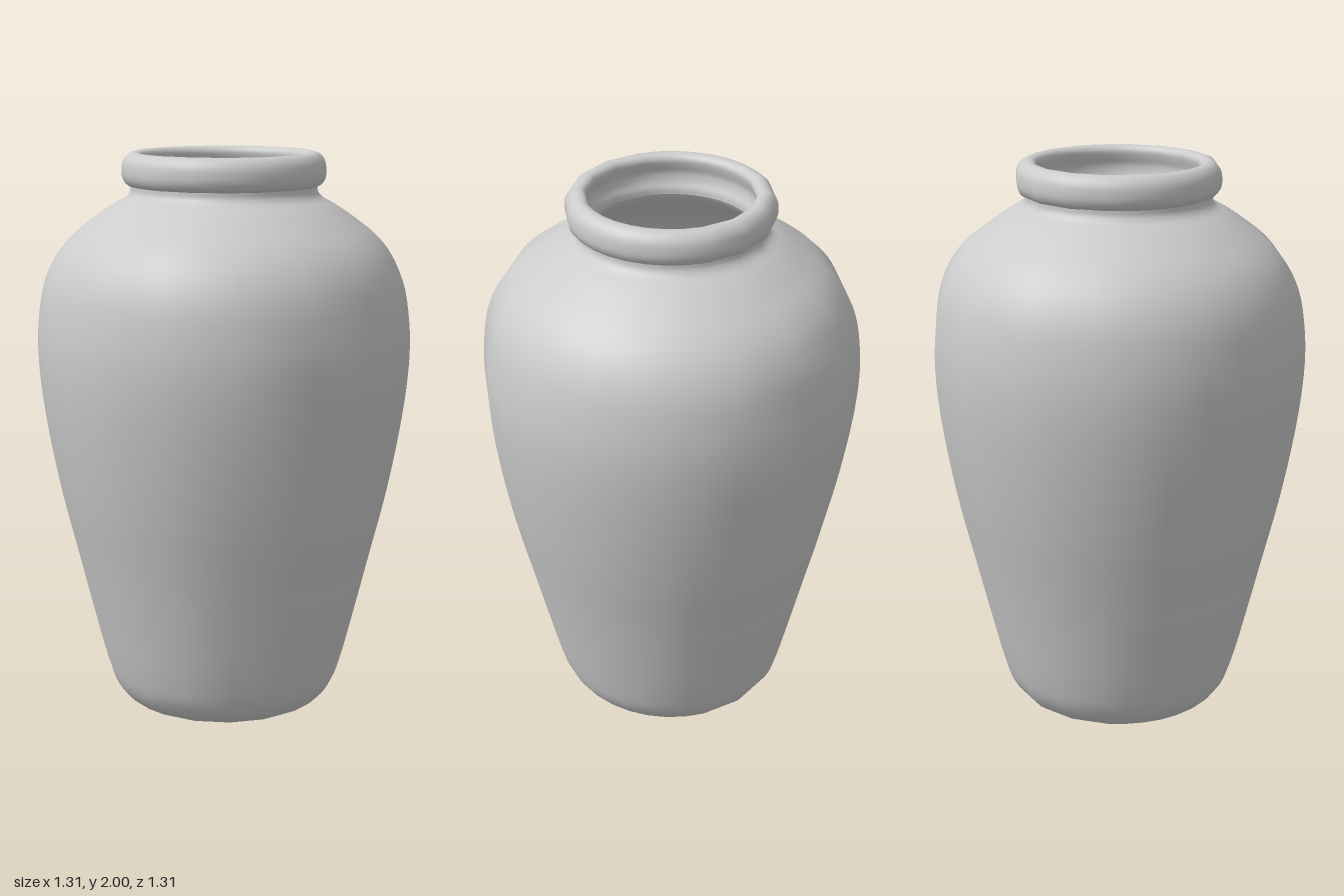
import * as THREE from 'three';

// Smooth profile through [radius, height] points
function smoothProfile(points, divisions) {
  const curve = new THREE.CatmullRomCurve3(
    points.map(([r, y]) => new THREE.Vector3(r, y, 0)), false, 'centripetal');
  return curve.getPoints(divisions).map(p => new THREE.Vector2(Math.max(p.x, 0), p.y));
}

// Widths of the facets over a quarter turn, in degrees: wide near the z axis, narrow near the x axis
const QUARTER = [22.5, 22.5, 11.25, 11.25, 11.25, 11.25];

function facetAngles() {
  const back = [...QUARTER].reverse();
  const angles = [0];
  for (const step of [...QUARTER, ...back, ...QUARTER, ...back]) {
    angles.push(angles[angles.length - 1] + THREE.MathUtils.degToRad(step));
  }
  return angles;
}

// Lathe whose facets are turned to the uneven angles, normals included
function facetedLathe(profile) {
  const angles = facetAngles();
  const segments = angles.length - 1;
  const geometry = new THREE.LatheGeometry(profile, segments);
  const axis = new THREE.Vector3(0, 1, 0);
  const v = new THREE.Vector3();
  for (const name of ['position', 'normal']) {
    const attribute = geometry.getAttribute(name);
    for (let k = 0; k < attribute.count; k++) {
      const i = Math.floor(k / profile.length);
      v.fromBufferAttribute(attribute, k);
      v.applyAxisAngle(axis, angles[i] - (i / segments) * Math.PI * 2);
      attribute.setXYZ(k, v.x, v.y, v.z);
    }
  }
  return geometry;
}

export function createModel() {
  const group = new THREE.Group();
  group.name = 'jar';
  const material = new THREE.MeshStandardMaterial({ color: 0xcccccc, side: THREE.DoubleSide });

  const addPart = (name, points, divisions) => {
    const mesh = new THREE.Mesh(facetedLathe(smoothProfile(points, divisions)), material);
    mesh.name = name;
    group.add(mesh);
  };

  // Outer wall, from the middle of the base up to the neck
  addPart('body', [
    [0, 0], [0.15, 0.004], [0.265, 0.015], [0.345, 0.047], [0.393, 0.105], [0.424, 0.19],
    [0.47, 0.365], [0.523, 0.577], [0.576, 0.79], [0.618, 1.0], [0.645, 1.185],
    [0.654, 1.317], [0.65, 1.42], [0.63, 1.545], [0.592, 1.635], [0.538, 1.705],
    [0.458, 1.77], [0.385, 1.82], [0.342, 1.845], [0.327, 1.865], [0.325, 1.885],
  ], 70);

  // Rolled lip around the mouth, continuing down into the throat
  addPart('rim', [
    [0.315, 1.882], [0.338, 1.889], [0.353, 1.912], [0.356, 1.94], [0.351, 1.97],
    [0.333, 1.993], [0.312, 2.0], [0.293, 1.995], [0.284, 1.98], [0.289, 1.955],
    [0.297, 1.93], [0.294, 1.9], [0.284, 1.875], [0.283, 1.855],
  ], 40);

  // Inner wall, from the throat down to the floor
  addPart('interior', [
    [0.283, 1.855], [0.3, 1.83], [0.36, 1.785], [0.43, 1.735], [0.505, 1.67],
    [0.555, 1.6], [0.588, 1.52], [0.606, 1.4], [0.608, 1.31], [0.598, 1.18],
    [0.57, 1.0], [0.53, 0.79], [0.477, 0.577], [0.424, 0.365], [0.38, 0.2],
    [0.35, 0.125], [0.305, 0.075], [0.23, 0.052], [0.12, 0.045], [0, 0.045],
  ], 50);

  return group;
}
